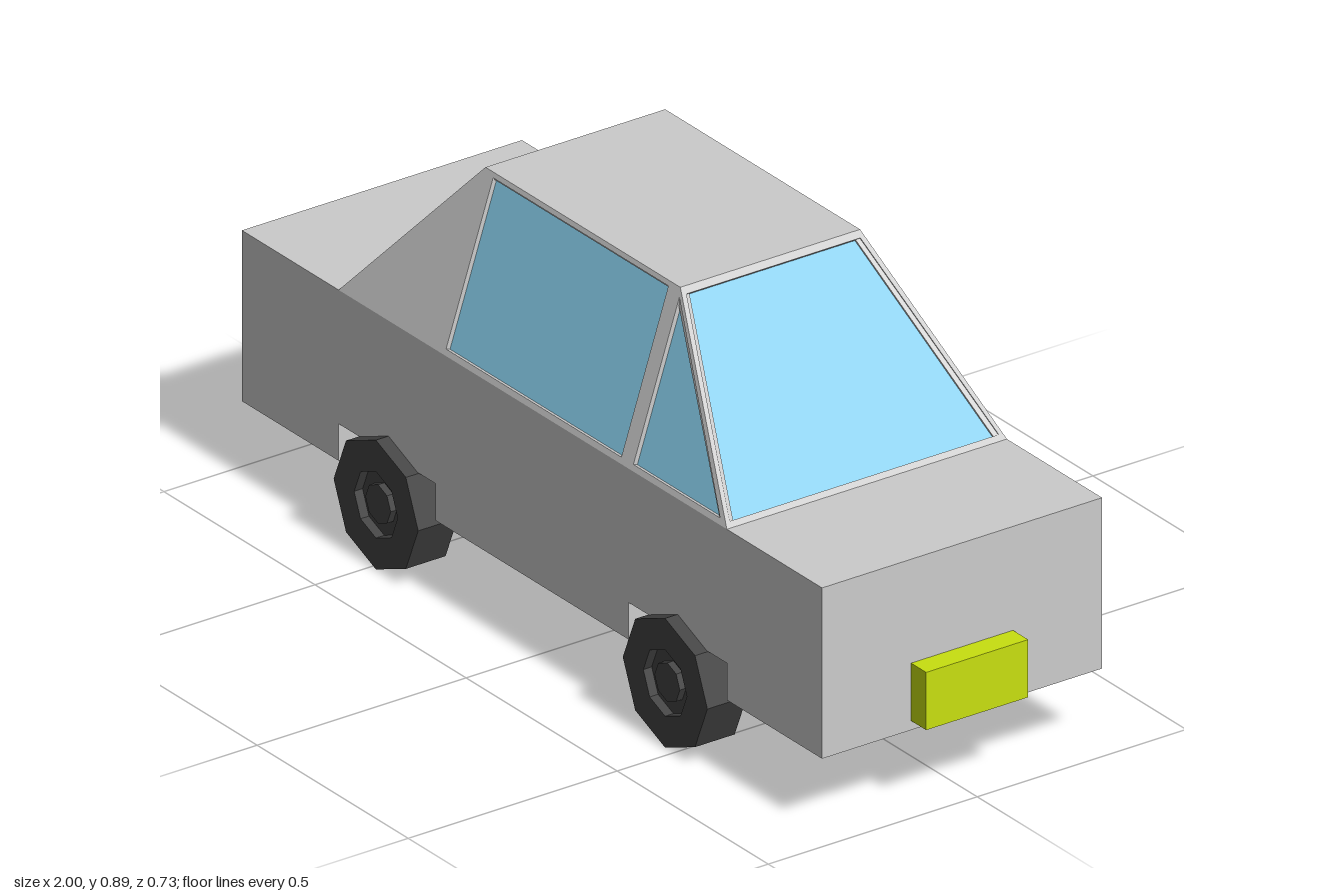
import * as THREE from 'three';

const paint = new THREE.MeshStandardMaterial({ color: 0xcccccc, flatShading: true });
const glass = new THREE.MeshStandardMaterial({ color: 0x87ceeb, flatShading: true, side: THREE.DoubleSide });
const rubber = new THREE.MeshStandardMaterial({ color: 0x444444, flatShading: true });
const yellow = new THREE.MeshStandardMaterial({ color: 0xc8e010, flatShading: true });

const BELT = 0.53, RISE = 0.36, SKIN = 0.02, INSET = 0.01;

function add(parent, name, geometry, material) {
  const mesh = new THREE.Mesh(geometry, material);
  mesh.name = name;
  parent.add(mesh);
  return mesh;
}

function box(parent, name, material, [x0, x1], [y0, y1], halfZ) {
  const mesh = add(parent, name, new THREE.BoxGeometry(x1 - x0, y1 - y0, 2 * halfZ), material);
  mesh.position.set((x0 + x1) / 2, (y0 + y1) / 2, 0);
}

const toPoints = (pairs) => pairs.map(([x, y]) => new THREE.Vector2(x, y));

// Leaning cabin wall with inset panes; outlines are [across, height above belt line]
function cabinWall(parent, name, yaw, distance, run, outline, openings) {
  const wall = new THREE.Group();
  wall.name = name;
  wall.rotation.y = yaw;
  parent.add(wall);
  const lean = new THREE.Group();
  lean.rotation.x = -Math.atan2(run, RISE);
  lean.position.set(0, BELT, distance);
  wall.add(lean);

  const stretch = Math.hypot(run, RISE) / RISE;
  const onSlope = (pairs) => toPoints(pairs.map(([x, y]) => [x, y * stretch]));
  const shape = new THREE.Shape(onSlope(outline));
  for (const opening of openings) {
    shape.holes.push(new THREE.Path(onSlope(opening)));
    const pane = add(lean, name + 'Glass', new THREE.ShapeGeometry(new THREE.Shape(onSlope(opening))), glass);
    pane.position.z = -INSET;
  }
  const frame = new THREE.ExtrudeGeometry(shape, { depth: SKIN, bevelEnabled: false });
  frame.translate(0, 0, -SKIN);
  add(lean, name + 'Frame', frame, paint);
}

export function createModel() {
  const car = new THREE.Group();
  car.name = 'car';

  // Lower body with wheel channels running across the underside
  const profile = new THREE.Shape(toPoints([
    [-0.97, 0.16], [-0.65, 0.16], [-0.65, 0.24], [-0.33, 0.24], [-0.33, 0.16],
    [0.31, 0.16], [0.31, 0.24], [0.635, 0.24], [0.635, 0.16], [0.95, 0.16],
    [0.95, BELT], [-0.97, BELT],
  ]));
  const body = new THREE.ExtrudeGeometry(profile, { depth: 0.67, bevelEnabled: false });
  body.translate(0, 0, -0.335);
  add(car, 'lowerBody', body, paint);

  // Cabin sides: door window and triangular quarter window, mirrored across z
  for (const s of [1, -1]) {
    const flip = (pairs) => pairs.map(([x, y]) => [x * s, y]);
    cabinWall(car, s > 0 ? 'frontSide' : 'backSide', s > 0 ? 0 : Math.PI, 0.335, 0.12,
      flip([[-0.65, 0], [0.635, 0], [0.315, RISE], [-0.33, RISE]]),
      [
        flip([[-0.3, 0.012], [0.28, 0.012], [0.28, 0.35], [-0.3, 0.35]]),
        flip([[0.32, 0.012], [0.607, 0.012], [0.32, 0.342]]),
      ]);
  }

  // Windscreen and rear window
  const endOutline = [[-0.335, 0], [0.335, 0], [0.215, RISE], [-0.215, RISE]];
  const endPane = [[-0.322, 0.01], [0.322, 0.01], [0.208, 0.348], [-0.208, 0.348]];
  cabinWall(car, 'windscreen', Math.PI / 2, 0.635, 0.32, endOutline, [endPane]);
  cabinWall(car, 'rearWindow', -Math.PI / 2, 0.65, 0.32, endOutline, [endPane]);

  box(car, 'roof', paint, [-0.33, 0.315], [0.875, 0.89], 0.215);

  // Lamp blocks at both ends
  box(car, 'noseLamp', yellow, [0.95, 1], [0.18, 0.305], 0.122);
  box(car, 'tailLamp', yellow, [-1, -0.97], [0.225, 0.35], 0.122);

  // Eight-sided wheels with a recessed ring around the hub
  const wheel = new THREE.LatheGeometry(toPoints([
    [0, 0.27], [0.14, 0.27], [0.14, 0.365], [0.072, 0.365],
    [0.072, 0.345], [0.042, 0.345], [0.042, 0.36], [0, 0.36],
  ]), 8);
  wheel.rotateX(Math.PI / 2);
  for (const x of [-0.485, 0.472]) {
    for (const yaw of [0, Math.PI]) {
      const mesh = add(car, 'wheel', wheel, rubber);
      mesh.position.set(x, 0.14, 0);
      mesh.rotation.y = yaw;
    }
  }
  return car;
}
